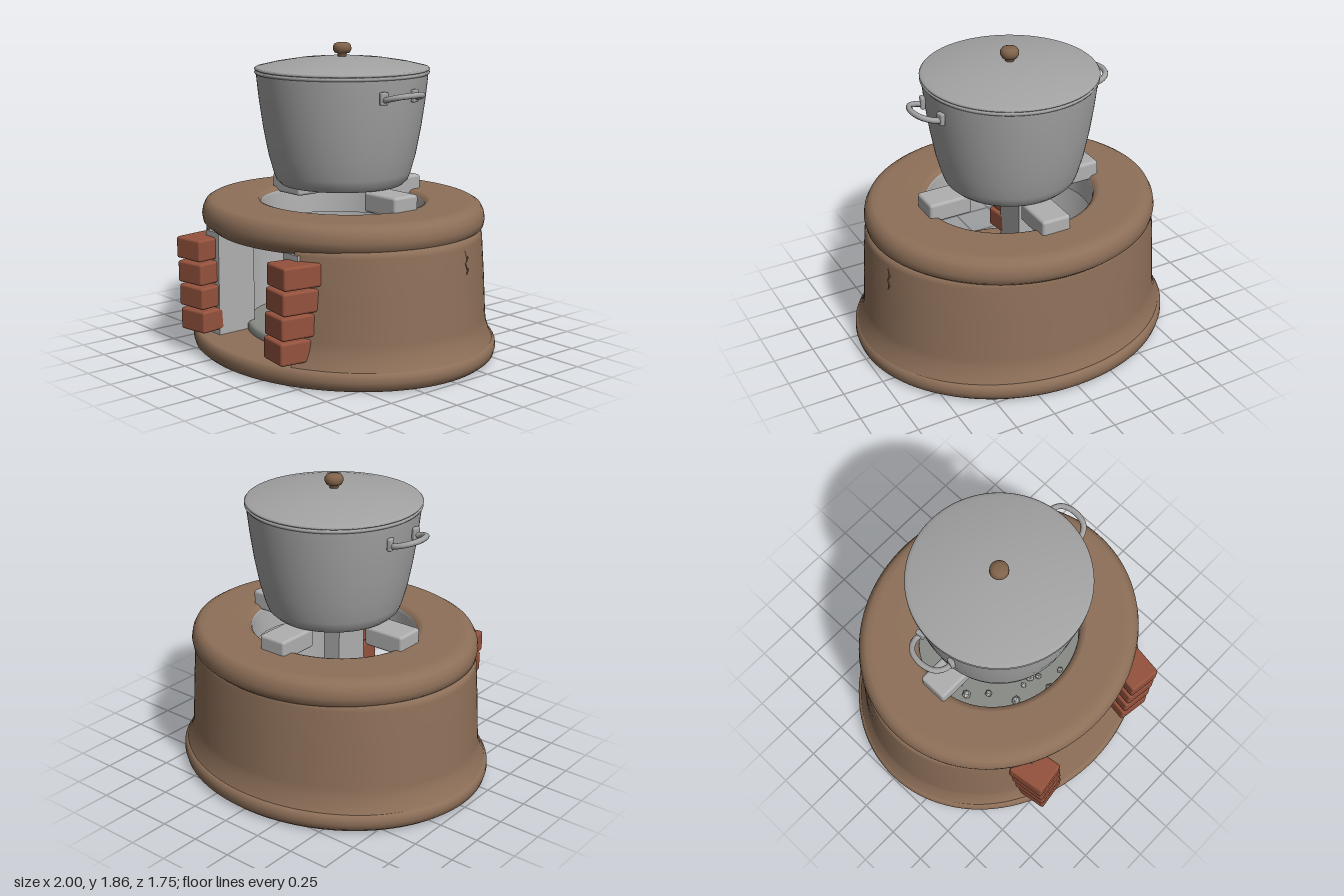
import * as THREE from 'three';
import { RoundedBoxGeometry } from 'three/addons/geometries/RoundedBoxGeometry.js';

const mat = (name, color, extra = {}) =>
  Object.assign(new THREE.MeshStandardMaterial({ color, ...extra }), { name });

export function createModel() {
  const clay = mat('clay', 0x8e7059);
  const brick = mat('brick', 0x95523d);
  const metal = mat('metal', 0xa3a3a3);
  const stone = mat('stone', 0xb0b0b0);
  const lining = mat('lining', 0xb4b4b4, { side: THREE.DoubleSide });
  const grateGrey = mat('grateGrey', 0x888b85);
  const ash = mat('ash', 0xb5b5b2, { flatShading: true });
  const ember = mat('ember', 0x96503a, { flatShading: true });
  const wood = mat('wood', 0x80634a);

  const model = new THREE.Group();
  const add = (name, geometry, material, x = 0, y = 0, z = 0, parent = model) => {
    const mesh = new THREE.Mesh(geometry, material);
    mesh.name = name;
    mesh.position.set(x, y, z);
    parent.add(mesh);
    return mesh;
  };
  // Turned profile squashed along z; gap leaves a doorway of that half angle at the front
  const turned = (points, squash = 1, gap = 0) =>
    new THREE.LatheGeometry(points.map(p => new THREE.Vector2(...p)), 96,
      gap || Math.PI, Math.PI * 2 - 2 * gap).scale(1, 1, squash);

  // Clay stove: foot, wall with doorway, and thick top ring
  add('foot', turned([[0, 0], [0.93, 0], [0.96, 0.001], [0.99, 0.025], [1, 0.06], [0.998, 0.09],
    [0.985, 0.112], [0.97, 0.116], [0, 0.116]], 0.873), clay);
  add('wall', turned([[0.986, 0.108], [0.965, 0.15], [0.945, 0.21], [0.938, 0.26], [0.925, 0.5],
    [0.908, 0.74], [0.9, 0.775], [0.87, 0.785], [0.8, 0.785]], 0.86, 0.47), clay);
  add('topRing', turned([[0.52, 0.74], [0.8, 0.737], [0.83, 0.74], [0.87, 0.77], [0.892, 0.79],
    [0.9, 0.83], [0.893, 0.87], [0.875, 0.905], [0.845, 0.922], [0.8, 0.925], [0.56, 0.925],
    [0.535, 0.918], [0.52, 0.9]], 0.915), clay);
  add('throat', turned([[0.521, 0.9], [0.515, 0.88], [0.515, 0.73]], 0.915), lining);
  add('fireboxLining', turned([[0.515, 0.735], [0.64, 0.73], [0.65, 0.7], [0.65, 0.11]], 0.92, 0.72), lining);

  // Firebox floor plate
  add('grate', turned([[0, 0.1], [0.59, 0.1], [0.605, 0.115], [0.605, 0.15], [0.59, 0.162],
    [0.57, 0.165], [0, 0.165]], 0.95), grateGrey);

  // Doorway sides: grey jambs and stacked bricks
  for (const s of [-1, 1]) {
    add('doorJamb', new THREE.BoxGeometry(0.13, 0.63, 0.26), stone, s * 0.378, 0.43, 0.57);
    for (let i = 0; i < 4; i++) {
      const b = add('doorBrick', new RoundedBoxGeometry(0.205, 0.132, 0.24, 2, 0.015), brick,
        s * (0.41 + i * 0.0115), 0.215 + i * 0.144, 0.725);
      b.rotation.set(0, -s * 0.14, s * (i % 2 ? 0.01 : -0.01));
    }
  }

  // Coals and ash lumps
  let seed = 7;
  const rnd = () => (seed = (seed * 16807) % 2147483647) / 2147483647;
  for (let i = 0; i < 26; i++) {
    const a = rnd() * Math.PI * 2, r = 0.42 * Math.sqrt(rnd()), size = 0.018 + rnd() * 0.02;
    const lump = add('coal', new THREE.IcosahedronGeometry(size, 0), i % 5 ? ash : ember,
      Math.sin(a) * r, 0.165 + size * 0.6, Math.cos(a) * r);
    lump.scale.set(1.2, 0.9, 1);
    lump.rotation.set(rnd() * 3, rnd() * 3, rnd() * 3);
  }

  // Small crack in the wall
  for (let i = 0; i < 4; i++) {
    const c = add('crack', new THREE.BoxGeometry(0.008, 0.04, 0.006), wood,
      0.897 - i * 0.003, 0.6 + i * 0.034, -0.175 + (i % 2) * 0.008);
    c.rotation.x = i % 2 ? 0.4 : -0.4;
  }

  // Three pot supports
  for (const [x, z, turn] of [[-0.44, 0, 0], [0.44, 0, 0], [0, -0.435, Math.PI / 2]]) {
    add('potSupport', new RoundedBoxGeometry(0.27, 0.12, 0.185, 3, 0.018), stone, x, 0.952, z)
      .rotation.y = turn;
  }

  // Pot with lid and knob
  const pot = new THREE.Group();
  pot.name = 'pot';
  model.add(pot);
  add('potBody', turned([[0, 1.01], [0.33, 1.01], [0.37, 1.018], [0.398, 1.045], [0.415, 1.09],
    [0.445, 1.2], [0.475, 1.36], [0.498, 1.52], [0.511, 1.64], [0.514, 1.68]]), metal, 0, 0, 0, pot);
  add('lid', turned([[0.5, 1.676], [0.518, 1.678], [0.524, 1.687], [0.52, 1.695], [0.51, 1.698],
    [0.52, 1.701], [0.525, 1.708], [0.518, 1.716], [0.5, 1.72], [0.42, 1.739], [0.28, 1.762],
    [0.14, 1.775], [0, 1.779]]), metal, 0, 0, 0, pot);
  add('lidKnob', turned([[0.026, 1.77], [0.026, 1.795], [0.045, 1.8], [0.055, 1.82], [0.054, 1.84],
    [0.044, 1.855], [0.025, 1.861], [0, 1.862]]), wood, 0, 0, 0, pot);

  // Side handles: bent rod with two mounting plates
  for (const s of [-1, 1]) {
    const path = new THREE.CatmullRomCurve3([[0.5, 1.565, -0.12], [0.55, 1.577, -0.12],
      [0.605, 1.592, -0.085], [0.628, 1.597, 0], [0.605, 1.592, 0.085], [0.55, 1.577, 0.12],
      [0.5, 1.565, 0.12]].map(([x, y, z]) => new THREE.Vector3(s * x, y, z)));
    add('handle', new THREE.TubeGeometry(path, 40, 0.017, 10), metal, 0, 0, 0, pot);
    for (const z of [-0.12, 0.12]) {
      add('handlePlate', new RoundedBoxGeometry(0.03, 0.075, 0.05, 2, 0.01), metal,
        s * 0.505, 1.577, z, pot).rotation.y = -s * Math.atan2(z, 0.5) * s;
    }
  }
  return model;
}
